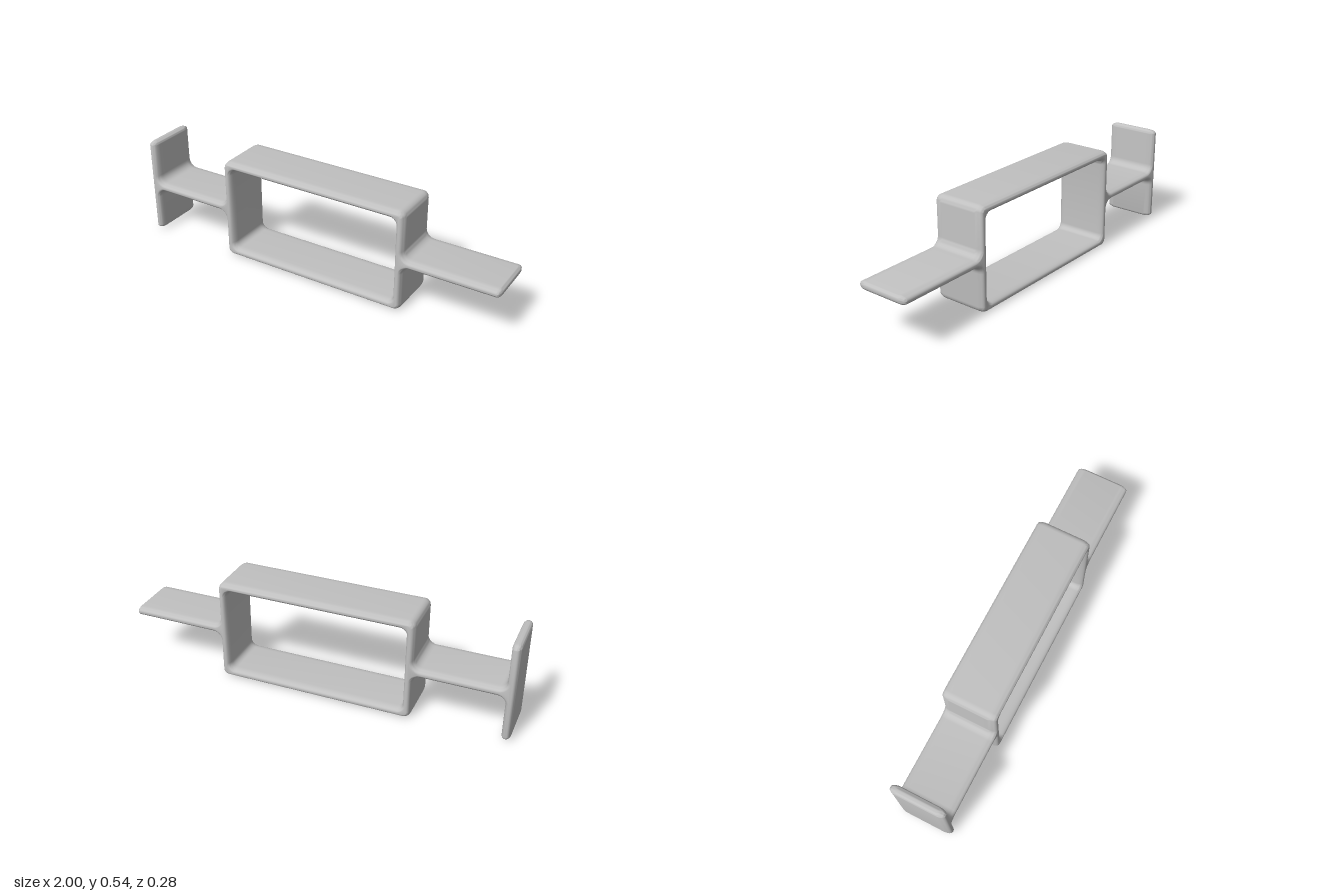
import * as THREE from 'three';
import { toCreasedNormals } from 'three/addons/utils/BufferGeometryUtils.js';

// Replace every right-angled corner [x, y, radius] by an arc
function roundedOutline(corners, steps = 6) {
  const points = [];
  corners.forEach(([x, y, r], i) => {
    const n = corners.length;
    const p = new THREE.Vector2(x, y);
    const toward = (c) => new THREE.Vector2(c[0], c[1]).sub(p).normalize();
    const u = toward(corners[(i + n - 1) % n]);
    const v = toward(corners[(i + 1) % n]);
    for (let k = 0; k <= steps; k++) {
      const t = (k / steps) * Math.PI / 2;
      points.push(p.clone()
        .addScaledVector(u, r * (1 - Math.sin(t)))
        .addScaledVector(v, r * (1 - Math.cos(t))));
    }
  });
  return points;
}

export function createModel() {
  const model = new THREE.Group();
  const grey = new THREE.MeshStandardMaterial({ color: 0xc0c0c0 });
  grey.name = 'light grey';

  const mid = 0.268, half = 0.022;          // bar height and half thickness
  const lo = mid - half, hi = mid + half;
  const tip = 0.02, fillet = 0.04, bend = 0.035;

  // Frame with a bar on each side and an upright plate on the right end
  const outline = new THREE.Shape(roundedOutline([
    [-1, 0.01, tip], [-0.955, 0.01, tip],
    [-0.955, lo, fillet], [-0.51, lo, fillet],
    [-0.51, 0, bend], [0.51, 0, bend],
    [0.51, lo, fillet], [1, lo, tip], [1, hi, tip], [0.51, hi, fillet],
    [0.51, 0.536, bend], [-0.51, 0.536, bend],
    [-0.51, hi, fillet], [-0.955, hi, fillet],
    [-0.955, 0.526, tip], [-1, 0.526, tip],
  ]));
  // Window of the frame
  outline.holes.push(new THREE.Path(roundedOutline([
    [-0.467, 0.043, 0.03], [-0.467, 0.493, 0.03],
    [0.467, 0.493, 0.03], [0.467, 0.043, 0.03],
  ])));

  // Softly rounded front and back edges
  const geometry = new THREE.ExtrudeGeometry(outline, {
    depth: 0.2, bevelThickness: 0.041, bevelSize: 0.018,
    bevelOffset: -0.018, bevelSegments: 6,
  });
  geometry.translate(0, 0, -0.1);

  const body = new THREE.Mesh(toCreasedNormals(geometry, 0.9), grey);
  body.name = 'frameWithBarsAndEndPlate';
  model.add(body);
  return model;
}
